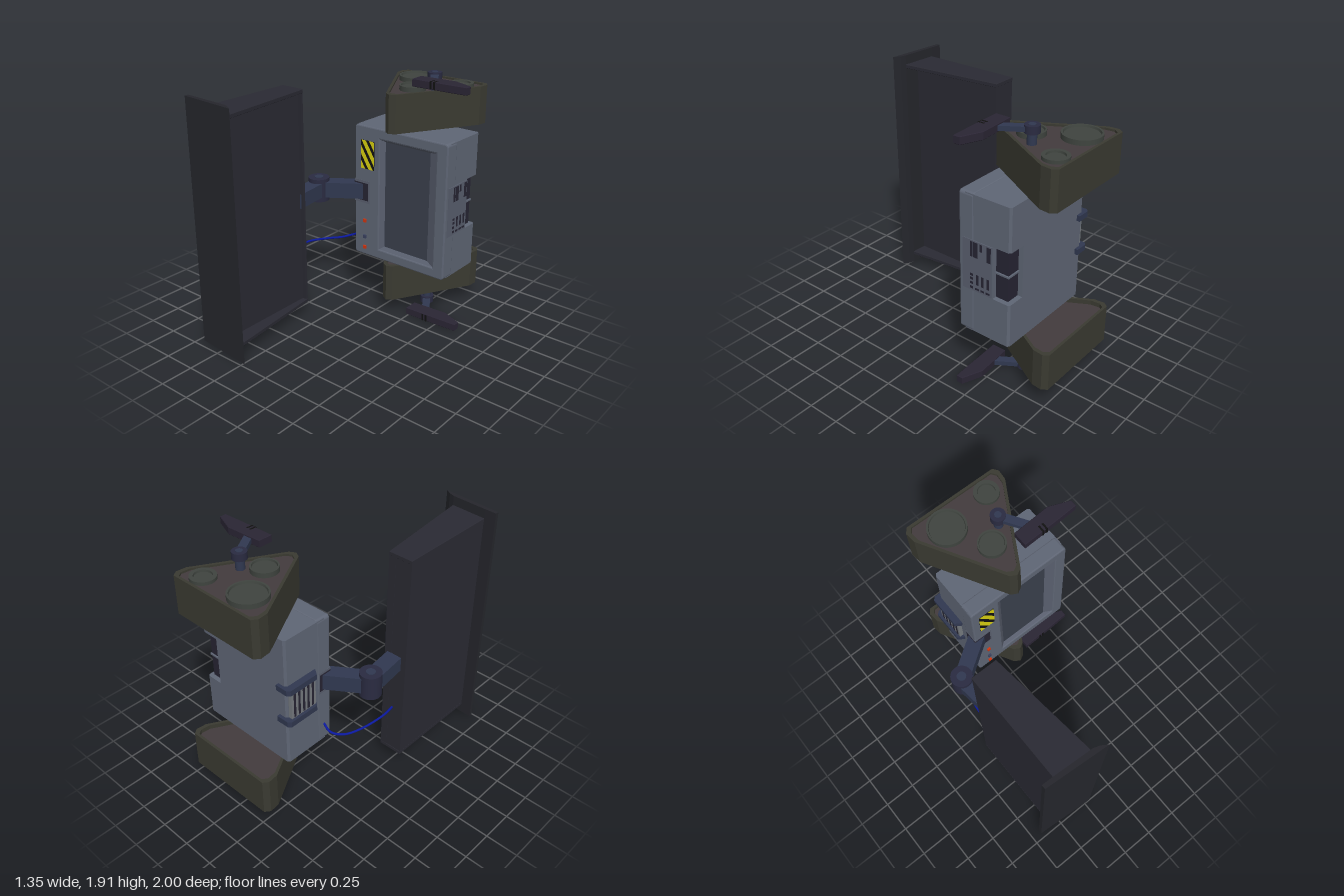
import * as THREE from 'three';

const mat = (color, extra = {}) => new THREE.MeshStandardMaterial({ color, ...extra });
const M = {
  body: mat(0x5f6675), panel: mat(0x595f6e), screen: mat(0x3a404d), dark: mat(0x262433),
  arm: mat(0x303850), joint: mat(0x2a2b41), blade: mat(0x2a2a33), lip: mat(0x25262c),
  belt: mat(0x3a3a31, { flatShading: true }), web: mat(0x433b3d), wheel: mat(0x3f443f),
  bar: mat(0x2a2534), hose: mat(0x0c1aa0), red: mat(0xd03510), blue: mat(0x39415f),
  yellow: mat(0xd8d010), black: mat(0x111111), steel: mat(0x767b80),
};
const MID = 0.957; // height of the mirror plane

function add(parent, name, geometry, material) {
  const mesh = new THREE.Mesh(geometry, material);
  mesh.name = name;
  parent.add(mesh);
  return mesh;
}

// Box given by its limits
function box(parent, name, material, [x0, x1], [y0, y1], [z0, z1]) {
  const g = new THREE.BoxGeometry(x1 - x0, y1 - y0, z1 - z0);
  g.translate((x0 + x1) / 2, (y0 + y1) / 2, (z0 + z1) / 2);
  return add(parent, name, g, material);
}

// Upright prism from a plan outline of [x, z] points; a hole runs the opposite way round
function prism(parent, name, material, pts, y0, y1, { bevel = 0, hole } = {}) {
  const v = (list) => list.map(([x, z]) => new THREE.Vector2(x, -z));
  const shape = new THREE.Shape(v(pts));
  if (hole) shape.holes.push(new THREE.Path(v(hole)));
  const g = new THREE.ExtrudeGeometry(shape, {
    depth: y1 - y0 - 2 * bevel, bevelEnabled: bevel > 0, bevelSize: bevel,
    bevelOffset: -bevel, bevelThickness: bevel, bevelSegments: 1,
  });
  g.rotateX(-Math.PI / 2).translate(0, y0 + bevel, 0);
  return add(parent, name, g, material);
}

function disc(parent, name, material, x, z, r, y0, y1) {
  const g = new THREE.CylinderGeometry(r, r, y1 - y0, 32).translate(x, (y0 + y1) / 2, z);
  return add(parent, name, g, material);
}

// Level bar between two plan points
function beam(parent, name, material, [ax, az], [bx, bz], width, y0, y1) {
  const g = new THREE.BoxGeometry(Math.hypot(bx - ax, bz - az), y1 - y0, width);
  const m = add(parent, name, g, material);
  m.position.set((ax + bx) / 2, (y0 + y1) / 2, (az + bz) / 2);
  m.rotation.y = -Math.atan2(bz - az, bx - ax);
  return m;
}

const rect = (x0, x1, y0, y1) => [[x0, y0], [x1, y0], [x1, y1], [x0, y1]];

function roundedRect(x0, x1, y0, y1, r) {
  const s = new THREE.Shape();
  s.absarc(x1 - r, y1 - r, r, 0, Math.PI / 2);
  s.absarc(x0 + r, y1 - r, r, Math.PI / 2, Math.PI);
  s.absarc(x0 + r, y0 + r, r, Math.PI, Math.PI * 1.5);
  s.absarc(x1 - r, y0 + r, r, Math.PI * 1.5, Math.PI * 2);
  return s;
}

function buildBody() {
  const g = new THREE.Group();
  g.name = 'body';

  // Rear housing, notched at one back corner
  const full = [[-0.27, -0.37], [0.573, -0.37], [0.573, -0.725], [0.558, -0.74], [-0.255, -0.74], [-0.27, -0.725]];
  const notched = [[-0.27, -0.37], [0.573, -0.37], [0.573, -0.6], [0.535, -0.6], [0.535, -0.7], [0.43, -0.7], [0.43, -0.74], [-0.255, -0.74], [-0.27, -0.725]];
  prism(g, 'lowerHousing', M.body, full, 0.425, 0.76);
  prism(g, 'middleHousing', M.body, notched, 0.76, 1.16);
  prism(g, 'upperHousing', M.body, full, 1.16, 1.488);

  // Front bezel with window opening
  const shape = roundedRect(-0.272, 0.576, 0.42, 1.493, 0.025);
  const outer = rect(-0.035, 0.478, 0.5, 1.41);
  shape.holes.push(new THREE.Path(outer.map((p) => new THREE.Vector2(...p))));
  const b = 0.01;
  const bezel = new THREE.ExtrudeGeometry(shape, { depth: 0.12 - 2 * b, bevelSize: b, bevelOffset: -b, bevelThickness: b, bevelSegments: 2, curveSegments: 5 });
  add(g, 'frontBezel', bezel.translate(0, 0, -0.44 + b), M.body);

  // Sloped frame and screen
  const inner = rect(0, 0.408, 0.525, 1.39);
  const pos = [];
  for (let i = 0; i < 4; i++) {
    const j = (i + 1) % 4;
    const [a, c, d, e] = [[...outer[i], -0.328], [...outer[j], -0.328], [...inner[j], -0.352], [...inner[i], -0.352]];
    pos.push(...a, ...c, ...d, ...a, ...d, ...e);
  }
  const frame = new THREE.BufferGeometry();
  frame.setAttribute('position', new THREE.Float32BufferAttribute(pos, 3));
  frame.computeVertexNormals();
  add(g, 'screenFrame', frame, M.panel);
  box(g, 'screen', M.screen, [0, 0.408], [0.525, 1.39], [-0.372, -0.352]);

  // Hazard patch with diagonal stripes
  const [px0, px1, py0, py1] = [-0.212, -0.084, 1.15, 1.38];
  box(g, 'hazardPatch', M.black, [px0, px1], [py0, py1], [-0.33, -0.3185]);
  const clamp = (y) => Math.min(py1, Math.max(py0, y));
  for (let i = 0; i < 4; i++) {
    const low = 1.15 + i * 0.118, top = [], bottom = [];
    for (let k = 0; k <= 24; k++) {
      const x = px0 + ((px1 - px0) * k) / 24, drop = 1.6 * (x - px0);
      bottom.push(new THREE.Vector2(x, clamp(low - drop)));
      top.unshift(new THREE.Vector2(x, clamp(low + 0.068 - drop)));
    }
    add(g, 'hazardStripe', new THREE.ShapeGeometry(new THREE.Shape([...bottom, ...top])).translate(0, 0, -0.317), M.yellow);
  }

  // Front buttons and arm socket
  for (const [y, m] of [[0.717, M.red], [0.58, M.blue], [0.488, M.red]])
    box(g, 'button', m, [-0.182, -0.156], [y - 0.013, y + 0.013], [-0.33, -0.305]);
  box(g, 'armSocket', M.panel, [-0.274, -0.127], [0.865, 1.05], [-0.43, -0.317]);
  box(g, 'armSocketOpening', M.dark, [-0.276, -0.14], [0.885, 1.03], [-0.42, -0.3155]);

  // Side panel with slots, and dark windows in the notch
  box(g, 'sidePanel', M.panel, [0.55, 0.58], [0.765, 1.155], [-0.595, -0.35]);
  const slot = (z0, z1, y0, y1) => box(g, 'slot', M.dark, [0.56, 0.582], [y0, y1], [z0, z1]);
  slot(-0.435, -0.415, 1.03, 1.145);
  slot(-0.48, -0.443, 1.03, 1.145);
  slot(-0.515, -0.495, 1.09, 1.145);
  slot(-0.588, -0.555, 1.03, 1.145);
  for (const y of [0.79, 0.825, 0.86, 0.89]) slot(-0.44, -0.415, y - 0.009, y + 0.009);
  for (const z of [-0.475, -0.52, -0.565]) {
    slot(z - 0.01, z + 0.01, 0.82, 0.9);
    slot(z - 0.015, z + 0.015, 0.78, 0.795);
  }
  for (const [y0, y1] of [[0.765, 0.95], [0.965, 1.155]])
    box(g, 'cornerWindow', M.dark, [0.435, 0.541], [y0, y1], [-0.706, -0.604]);
  box(g, 'windowDivider', M.body, [0.432, 0.55], [0.95, 0.962], [-0.715, -0.602]);

  // Grille with two wrapping clips
  box(g, 'grille', M.steel, [-0.3, -0.26], [0.83, 1.08], [-0.72, -0.49]);
  for (let i = 0; i < 5; i++)
    box(g, 'grilleSlot', M.dark, [-0.303, -0.29], [0.85, 1.06], [-0.7 + i * 0.043, -0.682 + i * 0.043]);
  const clip = [[-0.2, -0.73], [-0.2, -0.765], [-0.3, -0.765], [-0.322, -0.745], [-0.322, -0.5], [-0.28, -0.47], [-0.26, -0.47], [-0.26, -0.73]];
  for (const y of [0.82, 1.093]) prism(g, 'grilleClip', M.arm, clip, y - 0.022, y + 0.022);
  return g;
}

// Upper track unit with its stabiliser; the lower one is its mirror image
function buildTrack(name) {
  const g = new THREE.Group();
  g.name = name;
  const outline = [[0.092, -0.257], [0.045, -0.283], [-0.292, -0.88], [-0.3, -0.96], [-0.27, -1], [0.46, -1], [0.488, -0.96], [0.48, -0.88], [0.138, -0.283]];
  const [cx, cz] = [0.094, -0.74];
  const inset = outline.map(([x, z]) => [cx + (x - cx) * 0.92, cz + (z - cz) * 0.92]);
  prism(g, 'trackBelt', M.belt, outline, 1.495, 1.79, { hole: [...inset].reverse() });
  prism(g, 'trackWeb', M.web, inset, 1.53, 1.775);

  // Dished wheels
  for (const [x, z, r, dish, top] of [[-0.06, -0.825, 0.14, 0.9, 1.812], [0.315, -0.877, 0.092, 0.7, 1.8], [0.1, -0.54, 0.1, 0.88, 1.812]]) {
    const profile = [[r, 1.76], [r, top], [r, top], [r * dish, top], [r * dish, top], [r * dish * 0.97, top - 0.015], [r * dish * 0.97, top - 0.015], [0, top - 0.015]];
    const wheel = new THREE.LatheGeometry(profile.map((p) => new THREE.Vector2(...p)), 32);
    add(g, 'roadWheel', wheel.translate(x, 0, z), M.wheel);
  }

  // Stabiliser: post, link and bar
  disc(g, 'stabiliserPost', M.arm, 0.23, -0.635, 0.033, 1.77, 1.87);
  disc(g, 'stabiliserPivot', M.joint, 0.23, -0.635, 0.054, 1.855, 1.91);
  disc(g, 'stabiliserCap', M.arm, 0.23, -0.635, 0.025, 1.9, 1.913);
  beam(g, 'stabiliserLink', M.arm, [0.23, -0.635], [0.36, -0.43], 0.06, 1.865, 1.9);
  const bar = [[0.23, -0.46], [0.52, -0.477], [0.675, -0.415], [0.675, -0.365], [0.54, -0.358], [0.23, -0.348]];
  prism(g, 'stabiliserBar', M.bar, bar, 1.854, 1.912, { bevel: 0.004 });
  for (const x of [0.385, 0.415]) box(g, 'barGroove', M.black, [x - 0.007, x + 0.007], [1.86, 1.913], [-0.4, -0.349]);
  return g;
}

function buildArm() {
  const g = new THREE.Group();
  g.name = 'arm';
  const elbow = [-0.515, -0.165];
  beam(g, 'upperArm', M.arm, [-0.19, -0.385], elbow, 0.115, 0.895, 1.02);
  beam(g, 'foreArm', M.arm, elbow, [-0.475, 0.16], 0.125, 0.9, 1.015);
  disc(g, 'elbow', M.joint, ...elbow, 0.082, 0.862, 1.048);
  disc(g, 'elbowPin', M.arm, ...elbow, 0.035, 0.857, 1.053);
  return g;
}

// Tapered box whose inner side is a shallow wedge-shaped recess, closed by a tall plate
function buildBlade() {
  const g = new THREE.Group();
  g.name = 'blade';
  box(g, 'bladeCore', M.blade, [-0.584, -0.425], [0.105, 1.825], [0.133, 0.95]);
  const lid = [[-0.585, 0.13], [-0.39, 0.13], [-0.298, 0.96], [-0.585, 0.95]];
  prism(g, 'bladeBottom', M.blade, lid, 0.1, 0.13, { bevel: 0.003 });
  prism(g, 'bladeTop', M.blade, lid, 1.8, 1.83, { bevel: 0.003 });
  box(g, 'bladeEndWall', M.blade, [-0.45, -0.392], [0.12, 1.81], [0.131, 0.15]);
  prism(g, 'bladePlate', M.lip, [[-0.677, 0.935], [-0.585, 0.938], [-0.3, 0.955], [-0.255, 0.97], [-0.208, 1], [-0.45, 0.982], [-0.677, 0.965]], 0.027, 1.902);
  return g;
}

export function createModel() {
  const model = new THREE.Group();
  model.name = 'trackedMachine';
  const lower = buildTrack('lowerTrack');
  lower.scale.y = -1;
  lower.position.y = 2 * MID;
  model.add(buildBody(), buildTrack('upperTrack'), lower, buildArm(), buildBlade());

  // Hose from the body to the blade
  const path = new THREE.CatmullRomCurve3([[-0.265, 0.565, -0.38], [-0.34, 0.525, -0.385], [-0.41, 0.503, -0.32], [-0.47, 0.515, -0.2], [-0.51, 0.54, 0], [-0.48, 0.52, 0.15]].map((p) => new THREE.Vector3(...p)));
  add(model, 'hose', new THREE.TubeGeometry(path, 40, 0.009, 8), M.hose);
  return model;
}
